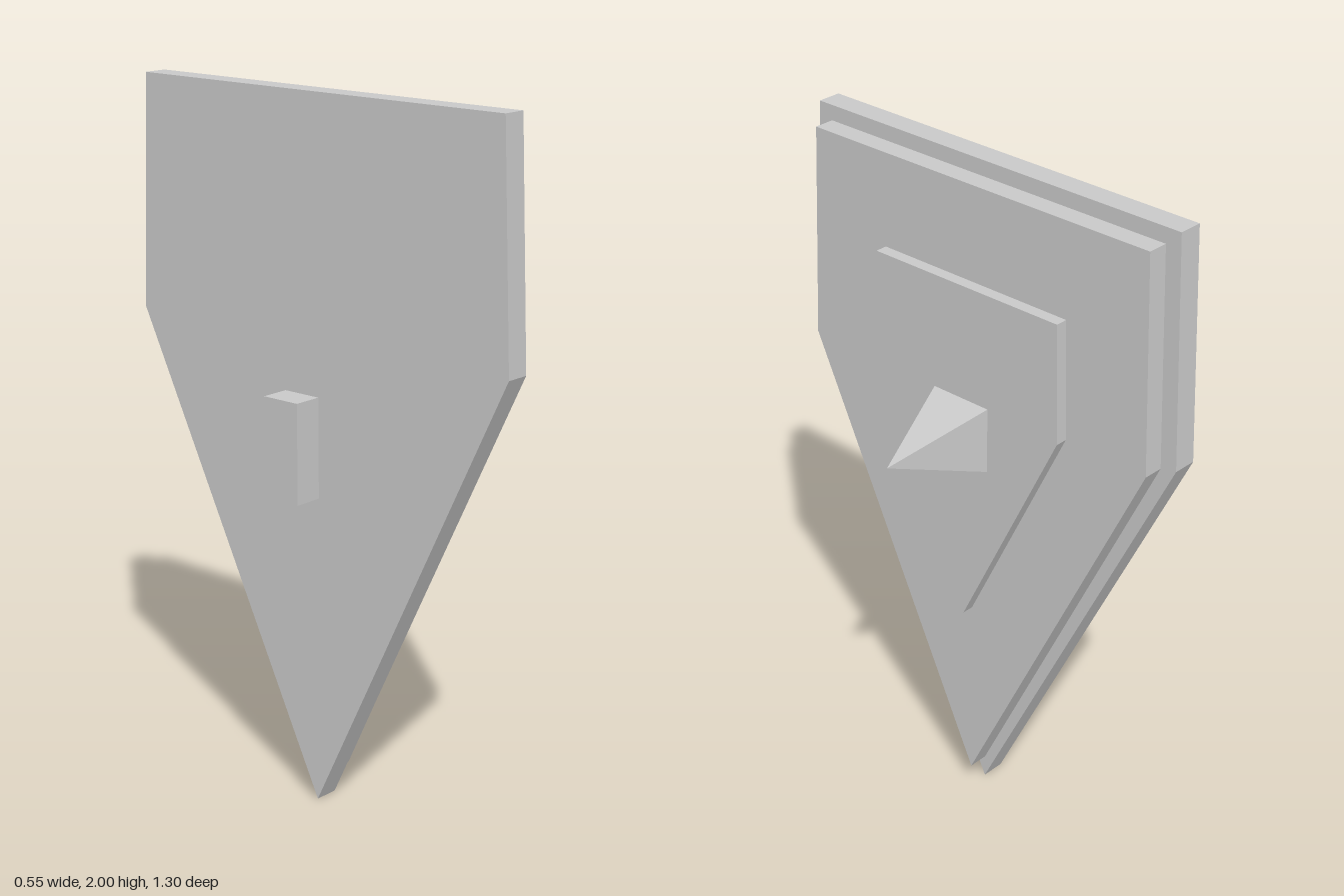
import * as THREE from 'three';

export function createModel() {
  const group = new THREE.Group();
  const grey = new THREE.MeshStandardMaterial({ color: 0xc8c8c8 });
  grey.name = 'plainGrey';

  const add = (name, geometry, x, y, z) => {
    const mesh = new THREE.Mesh(geometry, grey);
    mesh.name = name;
    mesh.position.set(x, y, z);
    group.add(mesh);
  };

  // Five-sided shield outline, extruded along +x from x0 to x1
  const addPlate = (name, x0, x1, topY, topHalf, sideY, sideHalf, tipY) => {
    const shape = new THREE.Shape([
      new THREE.Vector2(0, tipY),
      new THREE.Vector2(sideHalf, sideY),
      new THREE.Vector2(topHalf, topY),
      new THREE.Vector2(-topHalf, topY),
      new THREE.Vector2(-sideHalf, sideY),
    ]);
    const geometry = new THREE.ExtrudeGeometry(shape, { depth: x1 - x0, bevelEnabled: false });
    geometry.rotateY(Math.PI / 2);
    add(name, geometry, x0, 0, 0);
  };

  // Stacked plates, from the back to the raised centre
  addPlate('backPlate', -0.195, -0.124, 2, 0.627, 1.335, 0.652, 0);
  addPlate('middlePlate', -0.124, -0.063, 1.955, 0.581, 1.325, 0.602, 0.07);
  addPlate('centrePlate', -0.063, -0.027, 1.68, 0.322, 1.33, 0.332, 0.645);

  // Square spike pointing outwards
  const spike = new THREE.ConeGeometry(0.097 * Math.SQRT2, 0.287, 4, 1).toNonIndexed();
  spike.rotateY(Math.PI / 4);
  spike.rotateZ(-Math.PI / 2);
  spike.computeVertexNormals();
  add('spike', spike, 0.1285, 1.255, 0);

  // Grip block on the rear
  add('handle', new THREE.BoxGeometry(0.085, 0.285, 0.12), -0.2375, 1.037, -0.05);

  return group;
}
